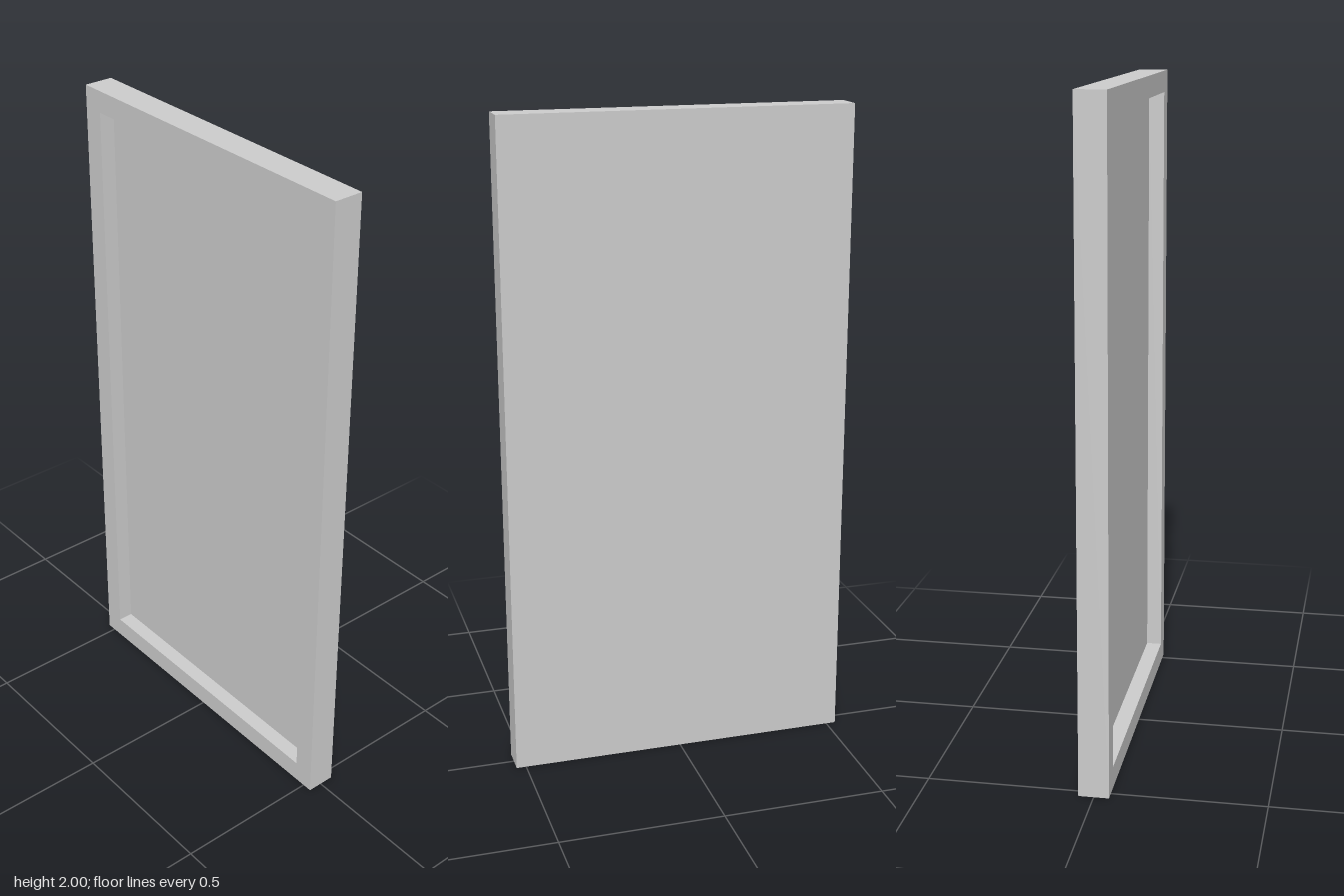
import * as THREE from 'three';

// Rectangular cross-section, counter-clockwise seen from the front
function ring(halfW, bottom, top, z) {
  return [[-halfW, bottom, z], [halfW, bottom, z], [halfW, top, z], [-halfW, top, z]];
}

// Joins successive rings with flat quads and closes both ends
function skin(rings) {
  const pos = [];
  const quad = (a, b, c, d) => pos.push(...a, ...b, ...c, ...a, ...c, ...d);
  for (let r = 0; r < rings.length - 1; r++) {
    const p = rings[r], q = rings[r + 1];
    for (let i = 0; i < 4; i++) {
      const j = (i + 1) % 4;
      quad(p[i], p[j], q[j], q[i]);
    }
  }
  const first = rings[0], last = rings[rings.length - 1];
  quad(first[3], first[2], first[1], first[0]);
  quad(last[0], last[1], last[2], last[3]);
  const geometry = new THREE.BufferGeometry();
  geometry.setAttribute('position', new THREE.Float32BufferAttribute(pos, 3));
  geometry.computeVertexNormals();
  return geometry;
}

export function createModel() {
  const halfW = 0.53, height = 2, halfD = 0.045;
  const border = 0.066, floorZ = -0.003;
  const innerW = halfW - border, innerTop = height - border;

  // One solid panel: back, outer sides, raised border, recess walls, recess floor
  const panel = new THREE.Mesh(
    skin([
      ring(halfW, 0, height, -halfD),
      ring(halfW, 0, height, halfD),
      ring(innerW, border, innerTop, halfD),
      ring(innerW, border, innerTop, floorZ),
    ]),
    new THREE.MeshStandardMaterial({ color: 0xcccccc, flatShading: true })
  );
  panel.name = 'framedPanel';

  const model = new THREE.Group();
  model.name = 'recessedPanel';
  model.add(panel);
  return model;
}
